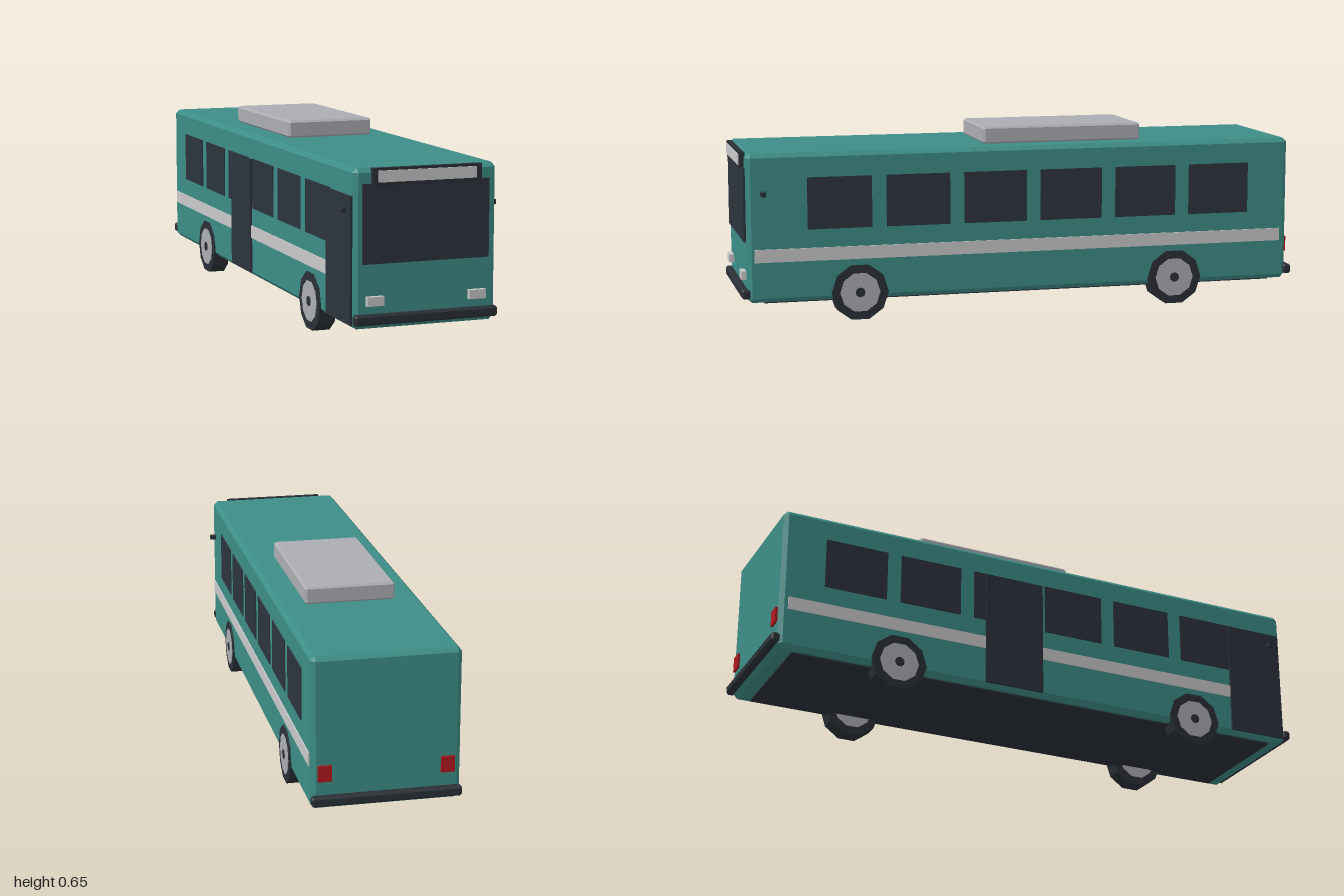
import * as THREE from 'three';
import { ConvexGeometry } from 'three/addons/geometries/ConvexGeometry.js';

const paint = (name, color) => {
  const m = new THREE.MeshStandardMaterial({ color });
  m.name = name;
  return m;
};

// Box with flat chamfers of size b on every edge
function chamferBox(w, h, d, b) {
  const pts = [];
  for (const x of [-1, 1]) for (const y of [-1, 1]) for (const z of [-1, 1]) {
    for (let full = 0; full < 3; full++) {
      const c = [w / 2, h / 2, d / 2].map((s, i) => (i === full ? s : s - b));
      pts.push(new THREE.Vector3(x * c[0], y * c[1], z * c[2]));
    }
  }
  return new ConvexGeometry(pts);
}

export function createModel() {
  const teal = paint('teal paint', 0x3d8d87);
  const glass = paint('dark glass', 0x2d343d);
  const trim = paint('dark trim', 0x2a3037);
  const light = paint('light grey', 0xcacaca);
  const metal = paint('grey metal', 0xabadb2);
  const red = paint('red lamp', 0xb0181c);

  const bus = new THREE.Group();
  bus.name = 'bus';

  const add = (name, geometry, material, x, y, z, parent = bus) => {
    const mesh = new THREE.Mesh(geometry, material);
    mesh.name = name;
    mesh.position.set(x, y, z);
    parent.add(mesh);
    return mesh;
  };
  // Part given by its extents along each axis
  const span = (name, material, [x0, x1], [y0, y1], [z0, z1], bevel = 0) => {
    const s = [x1 - x0, y1 - y0, z1 - z0];
    const g = bevel ? chamferBox(...s, bevel) : new THREE.BoxGeometry(...s);
    return add(name, g, material, (x0 + x1) / 2, (y0 + y1) / 2, (z0 + z1) / 2);
  };

  // Shell, floor and roof unit
  span('body', teal, [-0.245, 0.245], [0.072, 0.585], [-0.977, 0.979], 0.015);
  span('chassis', trim, [-0.217, 0.217], [0.066, 0.1], [-0.92, 0.92]);
  span('roofUnit', metal, [-0.155, 0.155], [0.584, 0.645], [-0.445, 0.132], 0.007);

  // Front face
  span('windscreen', glass, [-0.217, 0.217], [0.281, 0.536], [0.978, 0.987]);
  span('signHousing', trim, [-0.187, 0.187], [0.527, 0.585], [0.975, 0.993]);
  span('signPanel', light, [-0.168, 0.168], [0.54, 0.577], [0.992, 0.997]);

  // Bumpers at both ends
  span('frontBumper', trim, [-0.247, 0.247], [0.087, 0.121], [0.97, 1], 0.007);
  span('rearBumper', trim, [-0.247, 0.247], [0.087, 0.121], [-1, -0.97], 0.007);

  // Parts on both sides
  for (const s of [-1, 1]) {
    const side = s > 0 ? 'left' : 'right';
    const out = (a, b) => (s > 0 ? [a, b] : [-b, -a]);

    for (let i = 0; i < 6; i++) {
      const z = 0.66 - i * 0.2745;
      span(side + 'Window' + (i + 1), glass, out(0.241, 0.248), [0.321, 0.5], [z - 0.112, z + 0.112]);
    }
    span(side + 'Stripe', light, out(0.241, 0.249), [0.212, 0.257], [-0.95, 0.955]);
    span(side + 'Headlight', light, out(0.147, 0.205), [0.148, 0.178], [0.975, 0.996]);
    span(side + 'TailLight', red, out(0.179, 0.224), [0.168, 0.222], [-0.985, -0.976]);
    span(side + 'Mirror', trim, out(0.235, 0.268), [0.44, 0.457], [0.915, 0.932], 0.002);

    // Ten-sided wheels resting on a flat facet
    for (const [end, z] of [['Front', 0.593], ['Rear', -0.549]]) {
      const wheel = new THREE.Group();
      wheel.name = side + end + 'Wheel';
      wheel.position.set(s * 0.22, 0.095, z);
      bus.add(wheel);
      const disc = (name, radius, width, material) => {
        const g = new THREE.CylinderGeometry(radius, radius, width, 10).toNonIndexed();
        g.rotateZ(Math.PI / 2);
        g.rotateX(Math.PI / 10);
        // Turn until a facet faces the ground
        const p = g.attributes.position;
        let low = 0;
        for (let i = 0; i < p.count; i++) low = Math.min(low, p.getY(i));
        if (low < -radius * 0.99) g.rotateX(Math.PI / 10);
        g.computeVertexNormals();
        add(name, g, material, 0, 0, 0, wheel);
      };
      disc('tyre', 0.0999, 0.059, trim);
      disc('rim', 0.07, 0.063, metal);
      disc('hub', 0.017, 0.068, trim);
    }
  }

  // Doors on the right-hand side only
  span('frontDoor', glass, [-0.252, -0.24], [0.085, 0.497], [0.75, 0.965]);
  span('middleDoor', glass, [-0.252, -0.24], [0.085, 0.497], [-0.23, -0.012]);

  return bus;
}
